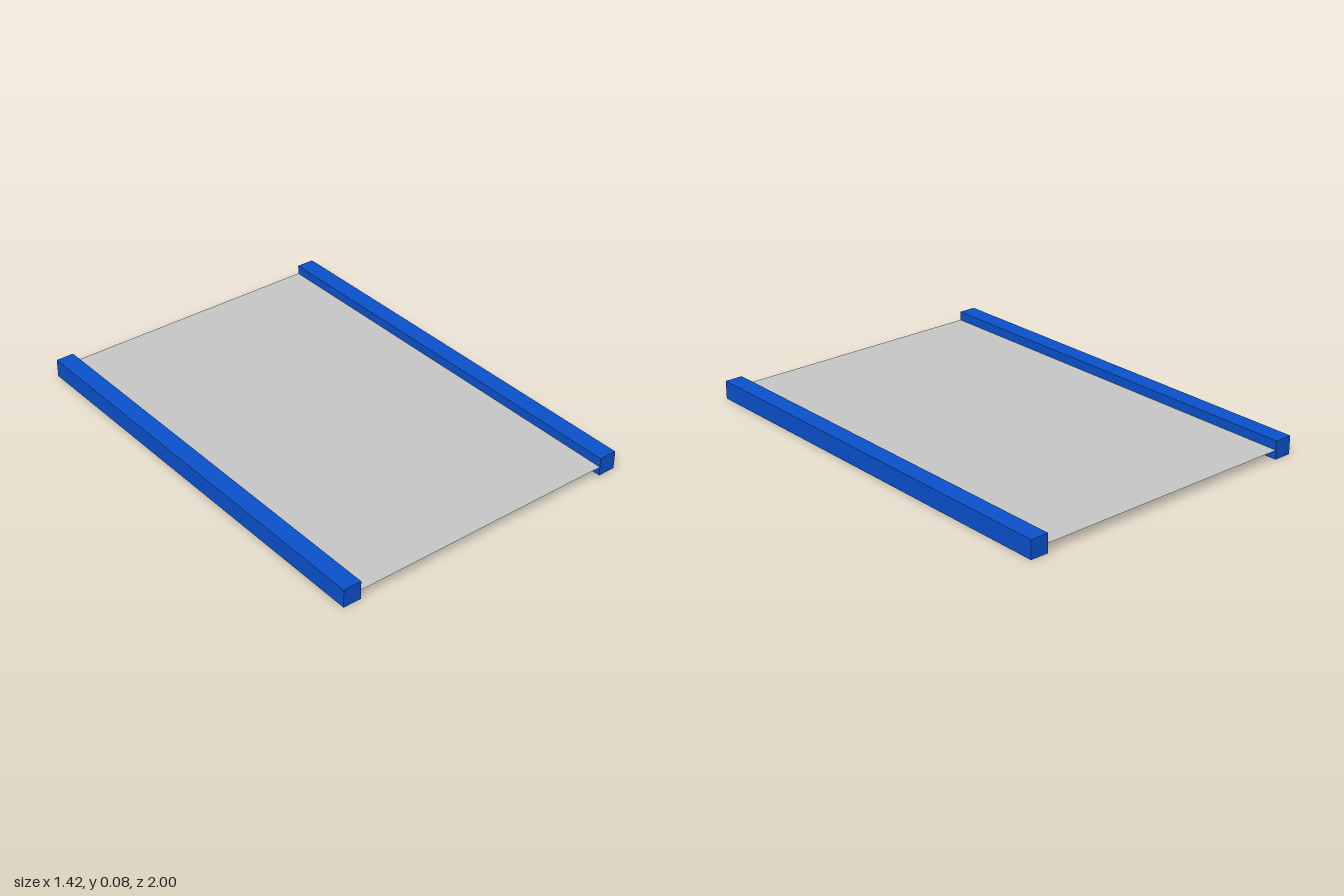
import * as THREE from 'three';

export function createModel() {
  const model = new THREE.Group();
  const blue = new THREE.MeshStandardMaterial({ color: 0x0b52ce });
  blue.name = 'blue';
  const grey = new THREE.MeshStandardMaterial({ color: 0xc8c8c8, side: THREE.DoubleSide });
  grey.name = 'light grey';

  const railSize = 0.083, length = 2, outer = 0.708;
  const inner = outer - railSize;

  // Square rails along both sides
  for (const [side, name] of [[1, 'leftRail'], [-1, 'rightRail']]) {
    const rail = new THREE.Mesh(new THREE.BoxGeometry(railSize, railSize, length), blue);
    rail.name = name;
    rail.position.set(side * (outer - railSize / 2), railSize / 2, 0);
    model.add(rail);
  }

  // Thin sheet stretched between the rails at mid height
  const sheet = new THREE.Mesh(new THREE.PlaneGeometry(inner * 2, length), grey);
  sheet.name = 'sheet';
  sheet.rotation.x = -Math.PI / 2;
  sheet.position.y = railSize / 2;
  model.add(sheet);

  return model;
}
